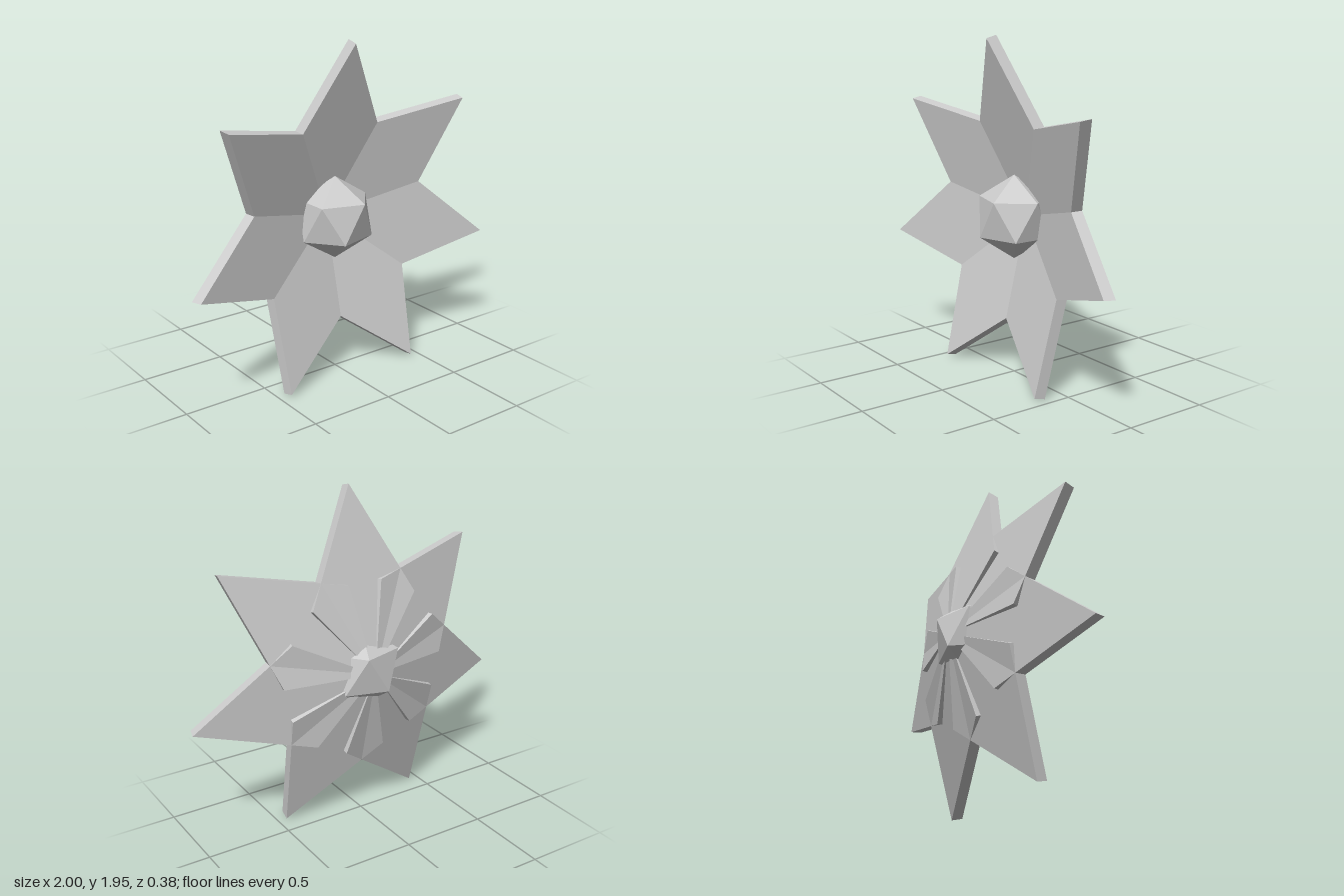
import * as THREE from 'three';

const PETALS = 7;
const TILT = THREE.MathUtils.degToRad(15);

export function createModel() {
  const model = new THREE.Group();
  const grey = new THREE.MeshStandardMaterial({ color: 0xcccccc, flatShading: true });
  grey.name = 'light grey';

  const flower = new THREE.Group();
  flower.name = 'flower';
  flower.position.y = 0.925;
  model.add(flower);

  // Kite-shaped slab; its wide corners pass behind the neighbouring petals
  const kite = new THREE.Shape([
    new THREE.Vector2(0, 0),
    new THREE.Vector2(0.334, 0.416),
    new THREE.Vector2(0, 1.062),
    new THREE.Vector2(-0.334, 0.416),
  ]);
  const petalGeometry = new THREE.ExtrudeGeometry(kite, { depth: 0.067, bevelEnabled: false });
  petalGeometry.rotateX(TILT); // tips lean forward
  petalGeometry.translate(0, 0, -0.154);

  for (let i = 0; i < PETALS; i++) {
    const petal = new THREE.Mesh(petalGeometry, grey);
    petal.name = `petal${i + 1}`;
    petal.rotation.z = (i / PETALS) * Math.PI * 2;
    flower.add(petal);
  }

  // Faceted core with a corner straight up, slightly flattened front to back
  const coreGeometry = new THREE.IcosahedronGeometry(0.243, 0);
  coreGeometry.rotateX(-Math.atan((1 + Math.sqrt(5)) / 2));
  coreGeometry.rotateY(Math.PI / 2);
  coreGeometry.scale(1, 1, 0.92);
  const core = new THREE.Mesh(coreGeometry, grey);
  core.name = 'core';
  core.position.y = 0.003;
  flower.add(core);

  return model;
}
